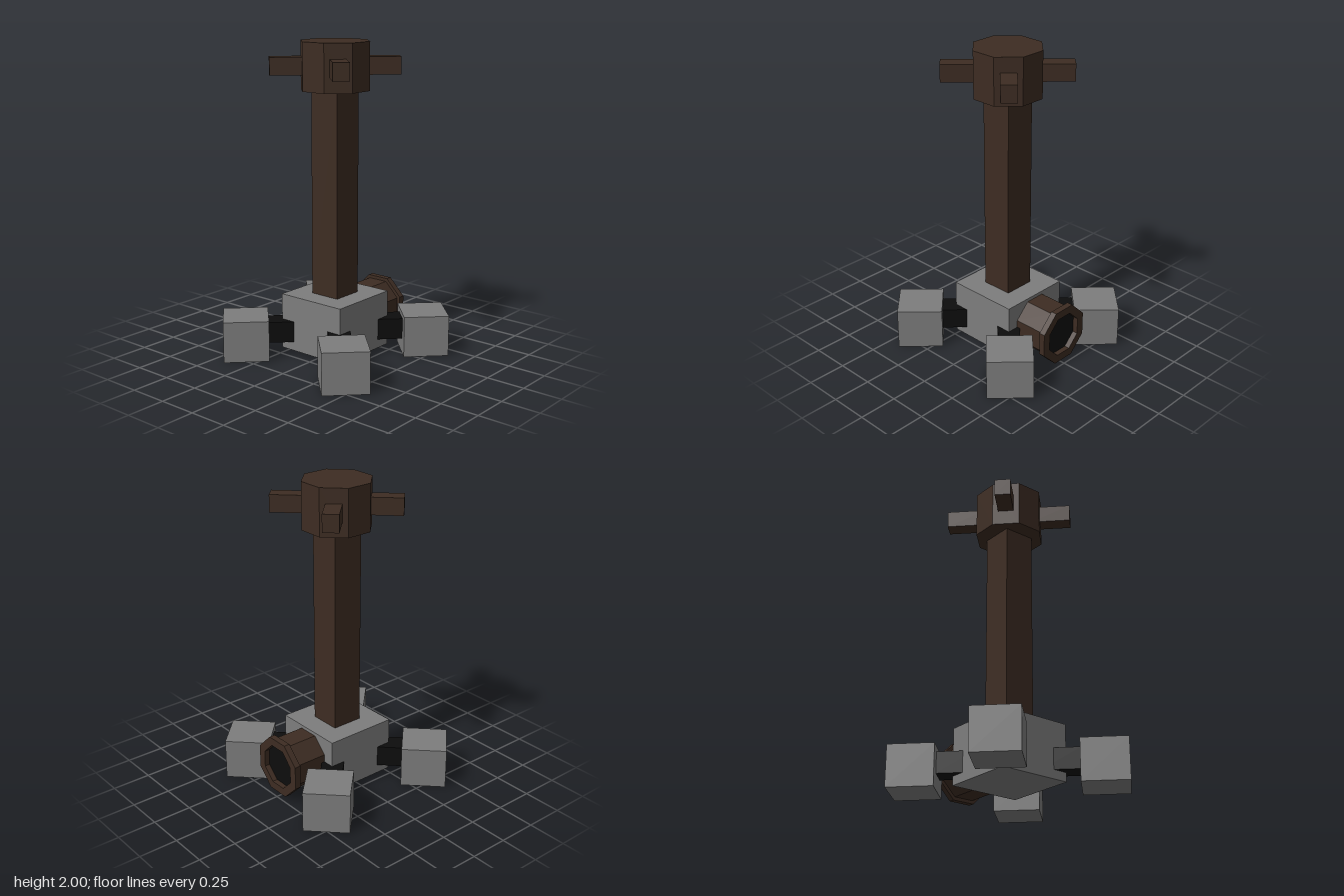
import * as THREE from 'three';

const wood = new THREE.MeshStandardMaterial({ color: 0x3d2c22 });
wood.name = 'dark wood';
const stone = new THREE.MeshStandardMaterial({ color: 0x7d7d7d });
stone.name = 'grey stone';
const black = new THREE.MeshStandardMaterial({ color: 0x0d0d0d });
black.name = 'black';

function add(parent, name, geometry, material, x, y, z) {
  const mesh = new THREE.Mesh(geometry, material);
  mesh.name = name;
  mesh.position.set(x, y, z);
  parent.add(mesh);
  return mesh;
}

// Corners of a regular octagon with flat sides on the axes
function octagon(apothem) {
  const r = apothem / Math.cos(Math.PI / 8);
  return Array.from({ length: 8 }, (_, i) => {
    const a = Math.PI / 8 + i * Math.PI / 4;
    return new THREE.Vector2(r * Math.cos(a), r * Math.sin(a));
  });
}

// Octagonal prism along +z, optionally bored through
function prism(apothem, depth, hole) {
  const shape = new THREE.Shape(octagon(apothem));
  if (hole) shape.holes.push(new THREE.Path(octagon(hole).reverse()));
  return new THREE.ExtrudeGeometry(shape, { depth, bevelEnabled: false });
}

export function createModel() {
  const model = new THREE.Group();
  model.name = 'post';

  // Base block, post and octagonal head
  add(model, 'base', new THREE.BoxGeometry(0.48, 0.36, 0.48), stone, 0, 0.22, 0);
  add(model, 'shaft', new THREE.BoxGeometry(0.206, 1.3, 0.206), wood, 0, 1.05, 0);
  add(model, 'head', prism(0.205, 0.3), wood, 0, 1.7, 0).rotation.x = -Math.PI / 2;

  // Four diagonal arms, each with a foot, a link and a peg on the head
  for (let i = 0; i < 4; i++) {
    const arm = new THREE.Group();
    arm.name = 'diagonalArm';
    arm.rotation.y = Math.PI / 4 + i * Math.PI / 2;
    add(arm, 'foot', new THREE.BoxGeometry(0.288, 0.265, 0.288), stone, 0, 0.1325, 0.572);
    add(arm, 'link', new THREE.BoxGeometry(0.14, 0.135, 0.24), black, 0, 0.165, 0.315);
    add(arm, 'peg', new THREE.BoxGeometry(0.1, 0.11, 0.25), wood, 0, 1.85, 0.277);
    model.add(arm);
  }

  // Octagonal spout on the back with a rim and a dark mouth
  const spout = new THREE.Group();
  spout.name = 'spout';
  spout.position.set(0, 0.215, 0);
  add(spout, 'spoutBarrel', prism(0.163, 0.21), wood, 0, 0, -0.45);
  add(spout, 'spoutRim', prism(0.184, 0.04, 0.132), wood, 0, 0, -0.49);
  add(spout, 'spoutMouth', prism(0.132, 0.005), black, 0, 0, -0.455);
  model.add(spout);

  return model;
}
